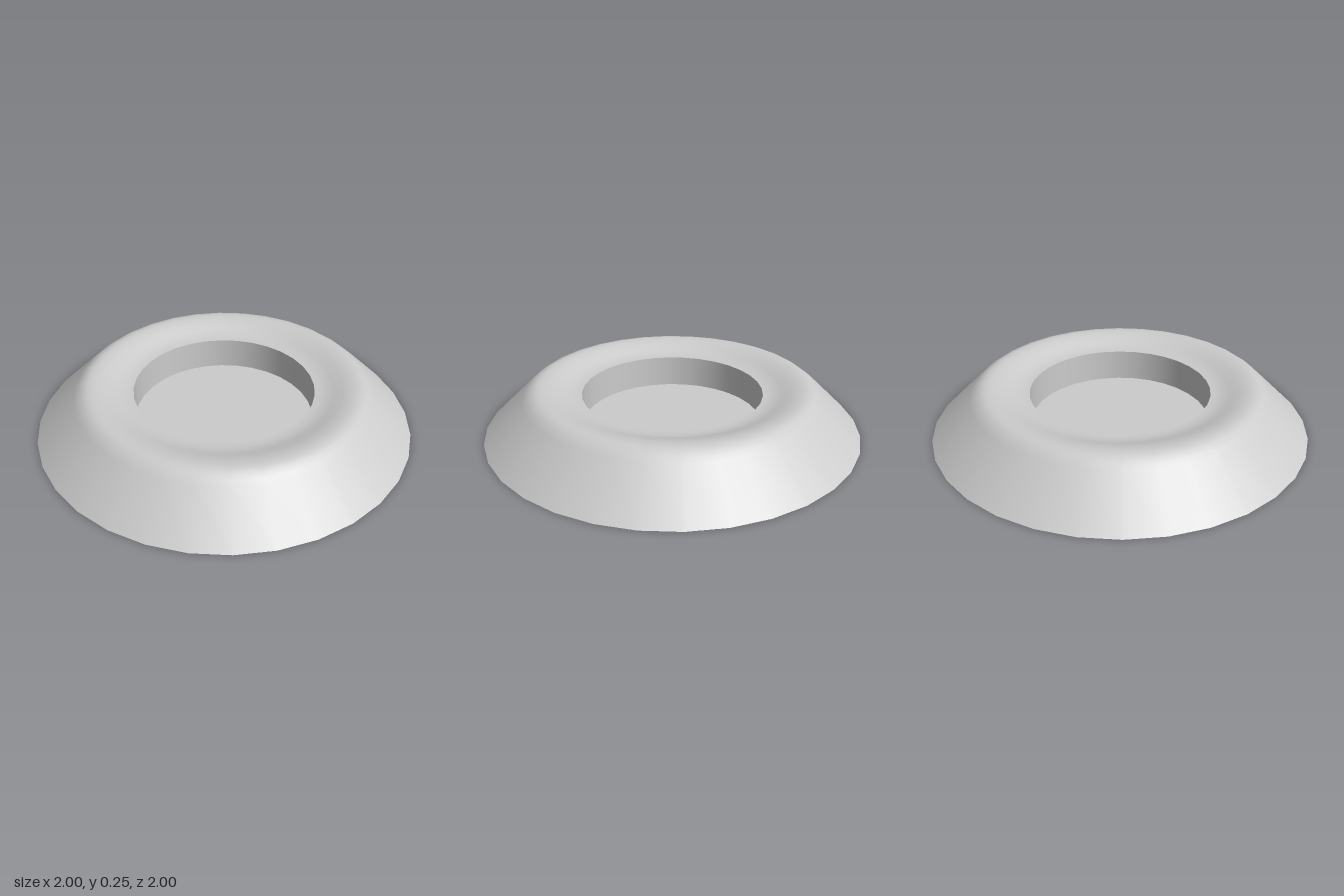
import * as THREE from 'three';

const SEGMENTS = 32;
const material = new THREE.MeshStandardMaterial({ color: 0xcccccc, side: THREE.DoubleSide });

// Revolve a list of [radius, height] points around the y axis
function revolve(name, profile) {
  const points = profile.map(([r, y]) => new THREE.Vector2(r, y));
  const mesh = new THREE.Mesh(new THREE.LatheGeometry(points, SEGMENTS), material);
  mesh.name = name;
  return mesh;
}

export function createModel() {
  const group = new THREE.Group();
  group.name = 'flaredDish';

  const wellRadius = 0.48, lipY = 0.2, floorY = 0.027;

  // Sloping skirt, rounded crest and shallow dip towards the well
  group.add(revolve('flaredRim', [
    [1, 0], [0.79, 0.205], [0.77, 0.222], [0.745, 0.24], [0.72, 0.248], [0.695, 0.25],
    [0.66, 0.246], [0.62, 0.235], [0.58, 0.219], [0.545, 0.207], [0.51, 0.201],
    [wellRadius, lipY],
  ]));

  // Straight wall of the well
  group.add(revolve('wellWall', [[wellRadius, lipY], [wellRadius, floorY]]));

  // Flat floor of the well
  const floor = new THREE.Mesh(new THREE.CircleGeometry(wellRadius, SEGMENTS), material);
  floor.name = 'wellFloor';
  floor.rotation.x = -Math.PI / 2;
  floor.position.y = floorY;
  group.add(floor);

  return group;
}
